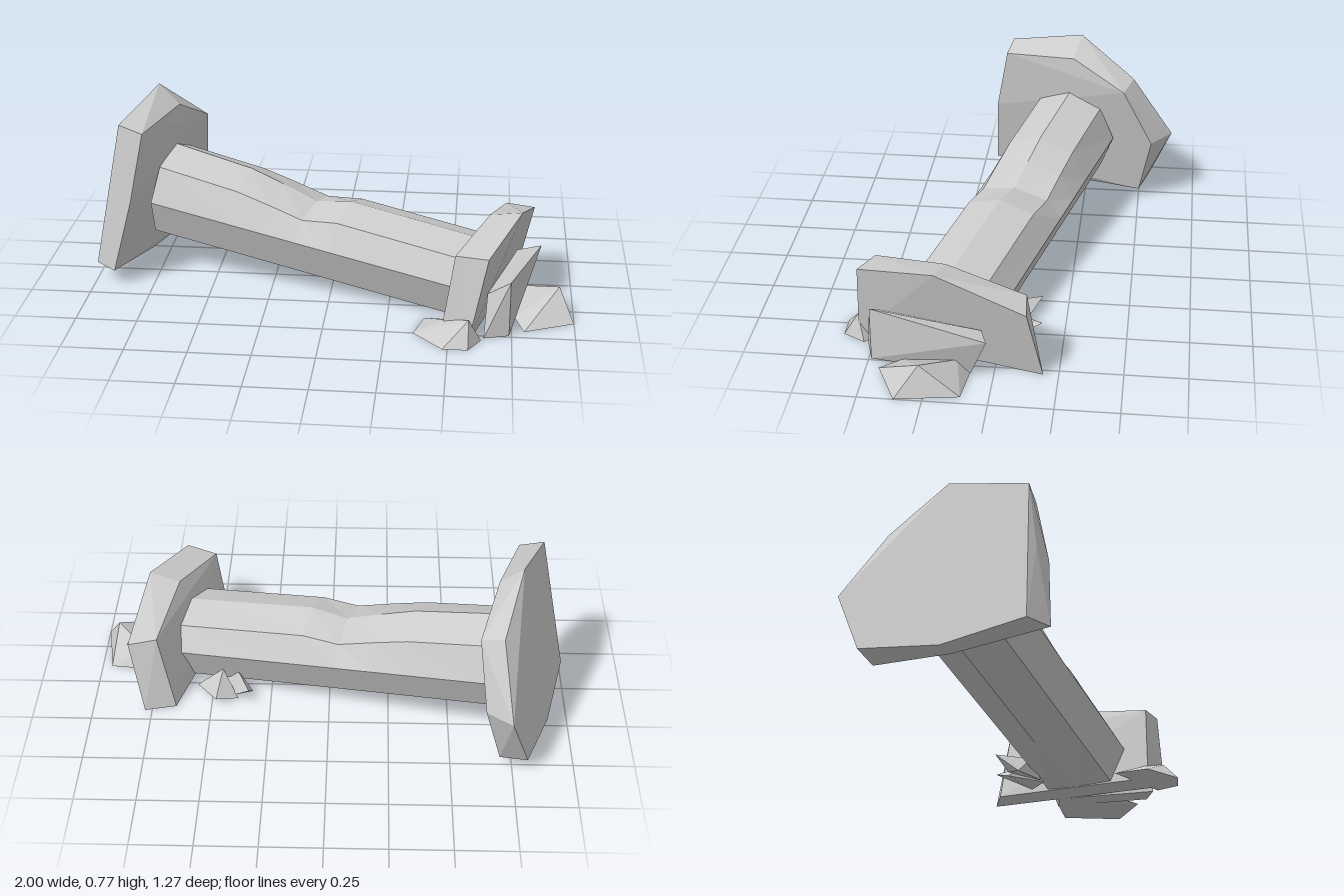
import * as THREE from 'three';
import { ConvexGeometry } from 'three/addons/geometries/ConvexGeometry.js';

const stone = new THREE.MeshStandardMaterial({ color: 0xcccccc, flatShading: true });

// Faceted block from its corner points
function block(name, corners) {
  const mesh = new THREE.Mesh(new ConvexGeometry(corners.map(c => new THREE.Vector3(...c))), stone);
  mesh.name = name;
  return mesh;
}

// Eight-sided shaft, sagging on top and sunk flat into the ground
function makeShaft() {
  const start = new THREE.Vector3(-0.72, 0.315, -0.18);
  const end = new THREE.Vector3(0.6, 0.155, 0.21);
  const axis = end.clone().sub(start).normalize();
  const side = new THREE.Vector3(-axis.z, 0, axis.x).normalize();
  const up = new THREE.Vector3().crossVectors(side, axis).normalize();
  // [position along the shaft, radius upward]
  const stations = [[0, 0.205], [0.26, 0.182], [0.37, 0.15], [0.48, 0.113], [0.59, 0.153], [1, 0.142]];
  const sides = 8, pos = [], index = [];
  for (const [t, rise] of stations) {
    for (let i = 0; i < sides; i++) {
      const a = (i / sides) * Math.PI * 2;
      const h = Math.sin(a);
      const p = start.clone().lerp(end, t)
        .addScaledVector(side, Math.cos(a) * 0.205)
        .addScaledVector(up, h * (h > 0 ? rise : 0.213));
      pos.push(p.x, Math.max(p.y, 0), p.z);
    }
  }
  for (let s = 0; s < stations.length - 1; s++) {
    for (let i = 0; i < sides; i++) {
      const a = s * sides + i, b = s * sides + (i + 1) % sides;
      index.push(a, a + sides, b, b, a + sides, b + sides);
    }
  }
  // End caps
  const last = (stations.length - 1) * sides;
  for (let i = 1; i < sides - 1; i++) {
    index.push(0, i, i + 1, last, last + i + 1, last + i);
  }
  const geo = new THREE.BufferGeometry();
  geo.setAttribute('position', new THREE.Float32BufferAttribute(pos, 3));
  geo.setIndex(index);
  geo.computeVertexNormals();
  const mesh = new THREE.Mesh(geo, stone);
  mesh.name = 'shaft';
  return mesh;
}

export function createModel() {
  const group = new THREE.Group();
  group.name = 'fallenColumn';
  group.add(makeShaft());

  // Raised end slab: shaft-side ring, then outer ring
  group.add(block('raisedEndSlab', [
    [-0.68, 0.69, -0.19], [-0.78, 0.66, 0.12], [-0.83, 0.38, 0.17], [-0.91, 0.07, 0.18],
    [-0.82, 0.02, -0.19], [-0.70, 0.04, -0.50], [-0.63, 0.31, -0.55], [-0.60, 0.57, -0.42],
    [-0.77, 0.77, -0.22], [-0.88, 0.69, 0.10], [-0.91, 0.40, 0.13], [-1.00, 0.07, 0.10],
    [-0.92, 0.01, -0.22], [-0.81, 0.06, -0.54], [-0.73, 0.32, -0.64], [-0.69, 0.60, -0.46],
  ]));

  // Half-buried end slab
  group.add(block('buriedEndSlab', [
    [0.65, 0.395, 0.20], [0.52, 0.34, 0.50], [0.47, 0, 0.50], [0.65, 0, -0.16], [0.72, 0.32, -0.12],
    [0.78, 0.42, 0.23], [0.65, 0.35, 0.55], [0.58, 0, 0.57], [0.78, 0, -0.19], [0.84, 0.30, -0.13],
  ]));

  // Broken pieces around the buried end
  group.add(block('leaningShard', [
    [0.64, 0, 0.52], [0.65, 0.17, 0.47], [0.74, 0.23, 0.49], [0.74, 0, 0.49], [0.79, 0.19, 0.22],
    [0.87, 0.19, 0.02], [0.77, 0.18, 0.05], [0.80, 0, 0.09], [0.70, 0, 0.1],
  ]));
  group.add(block('outerShard', [
    [0.94, 0.12, 0.27], [0.96, 0, 0.11], [1.0, 0, 0.36], [0.80, 0, 0.45],
    [0.76, 0.02, 0.36], [0.80, 0.06, 0.14], [0.78, 0, 0.09],
  ]));
  group.add(block('frontShard', [
    [0.36, 0, 0.50], [0.40, 0, 0.36], [0.48, 0, 0.63], [0.58, 0, 0.63], [0.63, 0, 0.54],
    [0.58, 0.10, 0.57], [0.48, 0.06, 0.49],
  ]));
  // Two small splinters behind the shaft
  group.add(block('backSplinter', [
    [0.34, 0.08, -0.15], [0.40, 0.02, -0.10], [0.33, 0, -0.05], [0.46, 0, 0.04], [0.40, 0.08, 0.0],
  ]));
  group.add(block('backSplinter', [
    [0.48, 0.04, -0.16], [0.39, 0, -0.10], [0.57, 0, -0.01], [0.48, 0, 0.05], [0.46, 0.08, 0.0],
  ]));
  return group;
}
